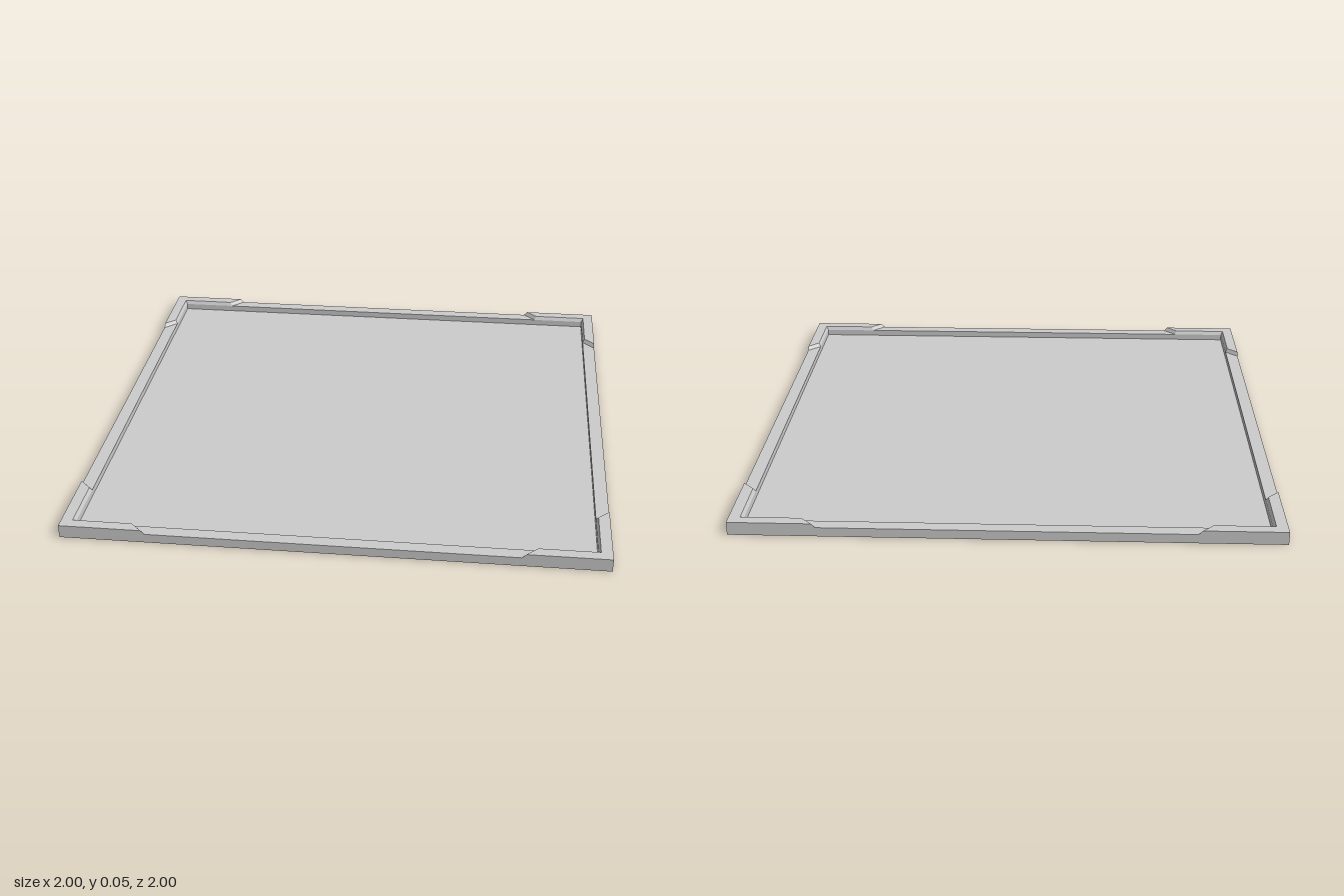
import * as THREE from 'three';

const FLOOR = 0.01, RIM = 0.035, TOP = 0.05;

const points = (list) => list.map(([x, y]) => new THREE.Vector2(x, y));
const square = (h) => points([[-h, -h], [h, -h], [h, h], [-h, h]]);

// Extrude a plan outline upwards from a given height
function raise(shape, y, depth) {
  const g = new THREE.ExtrudeGeometry(shape, { depth, bevelEnabled: false });
  g.rotateX(-Math.PI / 2);
  g.translate(0, y, 0);
  return g;
}

// L-shaped corner block whose ends and inner walls lean inwards to the top
function cornerGeometry() {
  const base = [[1, 1], [0.68, 1], [0.73, 0.95], [0.95, 0.95], [0.95, 0.73], [1, 0.68]];
  const top = [[1, 1], [0.695, 1], [0.737, 0.958], [0.958, 0.958], [0.958, 0.737], [1, 0.695]];
  const g = raise(new THREE.Shape(points(base)), RIM, TOP - RIM);
  const p = g.attributes.position;
  for (let i = 0; i < p.count; i++) {
    if (p.getY(i) < (RIM + TOP) / 2) continue;
    const k = base.findIndex(([x, y]) => Math.hypot(p.getX(i) - x, -p.getZ(i) - y) < 1e-4);
    p.setXYZ(i, top[k][0], TOP, -top[k][1]);
  }
  g.computeVertexNormals();
  return g;
}

export function createModel() {
  const model = new THREE.Group();
  model.name = 'tray';
  const grey = new THREE.MeshStandardMaterial({ color: 0xcccccc, flatShading: true });
  const add = (name, geometry) => {
    const mesh = new THREE.Mesh(geometry, grey);
    mesh.name = name;
    model.add(mesh);
    return mesh;
  };

  // Thin floor plate
  add('floor', new THREE.BoxGeometry(2, FLOOR, 2)).position.y = FLOOR / 2;

  // Low rim around the edge
  const frame = new THREE.Shape(square(1));
  frame.holes.push(new THREE.Path(square(0.95).reverse()));
  add('rim', raise(frame, FLOOR, RIM - FLOOR));

  // Raised corners
  const corner = cornerGeometry();
  ['backLeftCorner', 'backRightCorner', 'frontRightCorner', 'frontLeftCorner'].forEach((name, i) => {
    add(name, corner).rotation.y = i * Math.PI / 2;
  });

  return model;
}
